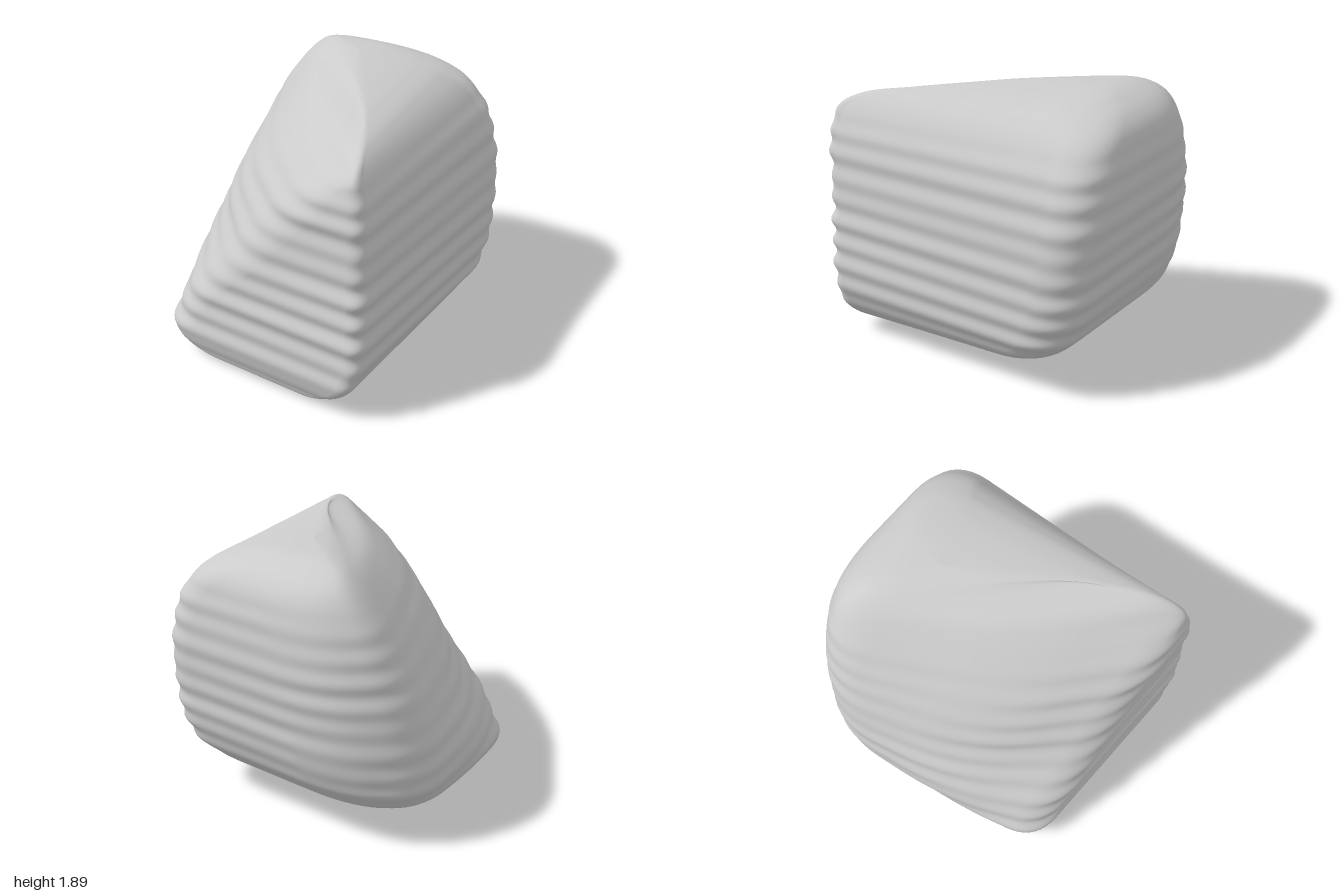
import * as THREE from 'three';

// Cross-sections, bottom to top: height, then x,z of five corners
// (back-right, front-right, front-left, left, back-left)
const SECTIONS = [
  [0.03, 0.38, 0.0, 0.52, 0.9, -0.38, 0.9, -0.42, 0.5, -0.38, 0.16],
  [0.1, 0.54, -0.37, 0.7, 0.95, -0.58, 0.95, -0.62, 0.5, -0.64, -0.08],
  [0.2, 0.72, -0.61, 0.83, 0.99, -0.62, 0.99, -0.76, 0.45, -0.83, -0.3],
  [0.4, 0.86, -0.83, 0.92, 0.99, -0.51, 0.99, -0.84, 0.35, -0.96, -0.5],
  [0.6, 0.89, -0.92, 0.93, 0.99, -0.36, 0.99, -0.81, 0.31, -0.99, -0.52],
  [0.9, 0.89, -0.97, 0.93, 0.98, -0.05, 0.98, -0.65, 0.34, -0.97, -0.56],
  [1.2, 0.86, -1.0, 0.925, 0.97, 0.22, 0.97, -0.47, 0.37, -0.9, -0.62],
  [1.5, 0.77, -0.99, 0.915, 0.97, 0.52, 0.97, -0.22, 0.34, -0.79, -0.67],
  [1.68, 0.63, -0.95, 0.87, 0.93, 0.73, 0.89, -0.06, 0.27, -0.67, -0.69],
  [1.77, 0.49, -0.88, 0.81, 0.81, 0.64, 0.7, -0.03, 0.12, -0.58, -0.68],
  [1.83, 0.34, -0.78, 0.63, 0.5, 0.51, 0.32, 0.0, -0.08, -0.48, -0.63],
  [1.87, 0.16, -0.66, 0.3, 0.03, 0.2, -0.02, -0.02, -0.25, -0.31, -0.57],
];
const BOTTOM = new THREE.Vector3(0.1, 0, 0.5);
const TOP = new THREE.Vector3(0.0, 1.89, -0.4);
const RADII = [0.3, 0.1, 0.22, 0.5, 0.3, 0.35]; // rounding of each corner
const ARC = 10; // steps around each corner
const RINGS = 312;

// One smooth curve runs up each corner of the stone, from pole to pole
function cornerCurves() {
  const lines = RADII.map(() => [BOTTOM]);
  for (const [y, ...p] of SECTIONS) {
    for (let k = 0; k < 5; k++) lines[k].push(new THREE.Vector3(p[2 * k], y, p[2 * k + 1]));
    // sixth corner keeps the back face bulging slightly outward
    lines[5].push(new THREE.Vector3(p[0] + (p[8] - p[0]) * 0.78, y, p[1] + 0.03));
  }
  return lines.map((l) => new THREE.CatmullRomCurve3([...l, TOP]));
}

// Closed loop through the corners, each one softened by a quadratic arc
function roundedLoop(corners) {
  const n = corners.length, loop = [];
  const toward = (a, b, r) => {
    const d = a.distanceTo(b);
    return a.clone().lerp(b, d > 1e-6 ? Math.min(r / d, 0.45) : 0);
  };
  corners.forEach((c, k) => {
    const start = toward(c, corners[(k + n - 1) % n], RADII[k]);
    const end = toward(c, corners[(k + 1) % n], RADII[k]);
    const arc = new THREE.QuadraticBezierCurve3(start, c, end);
    loop.push(...arc.getPoints(ARC - 1));
  });
  return loop;
}

// Horizontal weathering layers: irregular, strongest on the front and right,
// fading out toward the top and bottom
function addLayers(p) {
  const { smoothstep } = THREE.MathUtils;
  const fade = smoothstep(p.y, 0.08, 0.35) * (1 - smoothstep(p.y, 1.4, 1.72));
  const angle = Math.atan2(p.z, p.x);
  const facing = 0.75 + 0.25 * Math.cos(angle - Math.PI / 4);
  const y = p.y + 0.007 * Math.sin(2 * angle + 3 * p.y);
  const strength = 0.8 + 0.3 * Math.sin(7 * p.y + 3 * angle);
  const swell = strength * Math.cos((y - 0.725) * Math.PI * 2 / 0.16) + 0.3 * Math.sin(y * 23 + angle);
  const s = 1 + 0.011 * fade * facing * swell;
  p.x *= s;
  p.z *= s;
}

function stoneGeometry() {
  const curves = cornerCurves();
  const count = ARC * RADII.length;
  const positions = [], indices = [];
  for (let i = 0; i <= RINGS; i++) {
    for (const p of roundedLoop(curves.map((c) => c.getPoint(i / RINGS)))) {
      addLayers(p);
      positions.push(p.x, p.y, p.z);
    }
  }
  for (let i = 0; i < RINGS; i++) {
    for (let j = 0; j < count; j++) {
      const a = i * count + j, b = i * count + (j + 1) % count;
      const c = a + count, d = b + count;
      if (i < RINGS - 1) indices.push(a, c, b, b, c, d);
      else indices.push(a, c, b);
    }
  }
  const g = new THREE.BufferGeometry();
  g.setAttribute('position', new THREE.Float32BufferAttribute(positions, 3));
  g.setIndex(indices);
  g.computeVertexNormals();
  return g;
}

export function createModel() {
  const group = new THREE.Group();
  group.name = 'rock';
  const stone = new THREE.Mesh(stoneGeometry(), new THREE.MeshStandardMaterial({ color: 0xcccccc }));
  stone.name = 'layeredStone';
  group.add(stone);
  return group;
}
